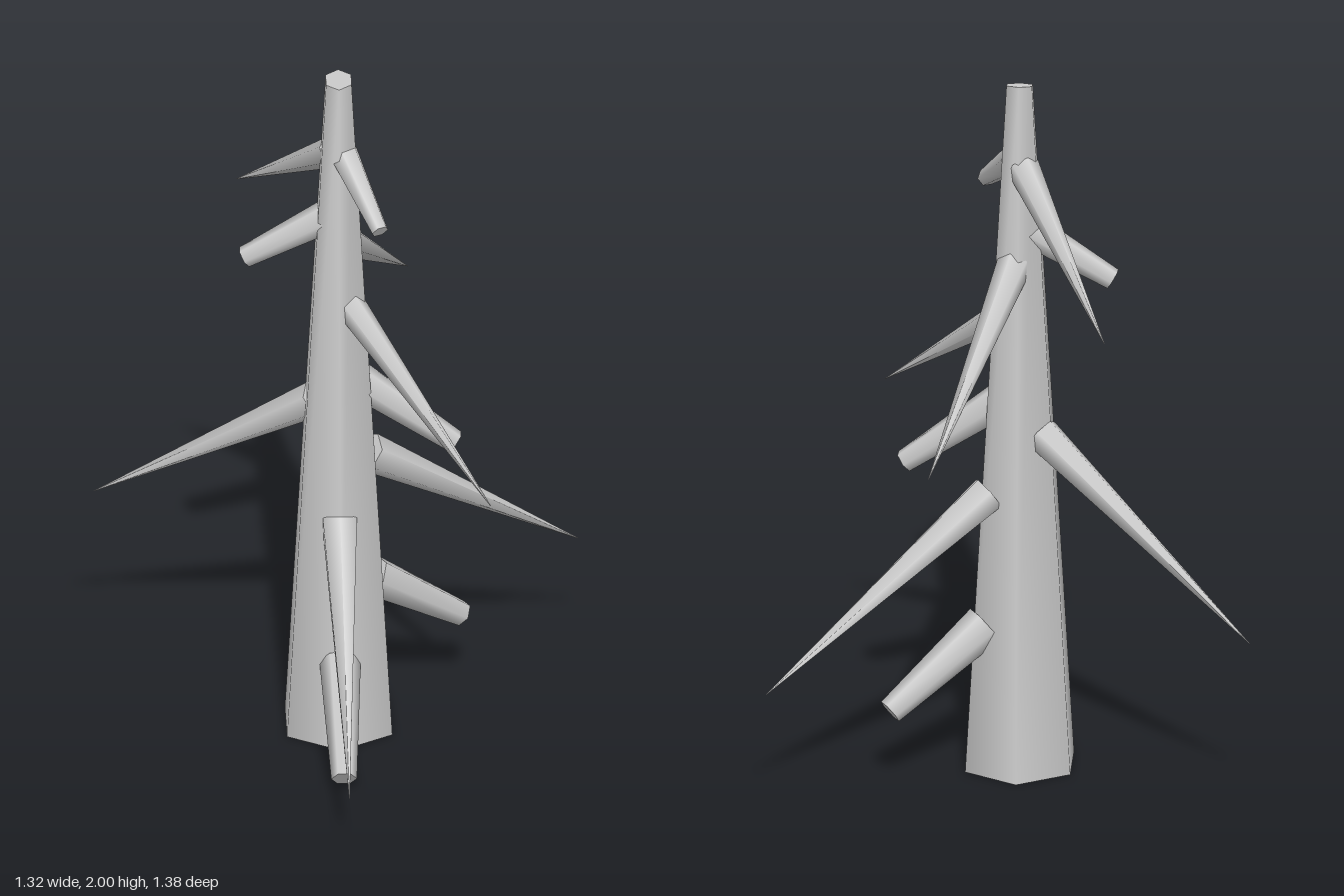
import * as THREE from 'three';

const material = new THREE.MeshStandardMaterial({ color: 0xcccccc });
const UP = new THREE.Vector3(0, 1, 0);
const AXIS = { x: -0.01, z: -0.085 };

// Six-sided tapered limb; its root is carried on into the trunk at the same taper.
function limb(name, root, tip, rootRadius, tipRadius, twist) {
  const a = new THREE.Vector3(...root);
  const b = new THREE.Vector3(...tip);
  const dir = b.clone().sub(a);
  const length = dir.length();
  dir.normalize();
  const sunk = 0.04;
  a.addScaledVector(dir, -sunk);
  const r = rootRadius + (rootRadius - tipRadius) * sunk / length;
  const geometry = new THREE.CylinderGeometry(tipRadius, r, length + sunk, 6);
  geometry.rotateY(twist);

  // Local y runs along the limb, local x stays level, local z faces upward.
  const side = new THREE.Vector3().crossVectors(dir, UP).normalize();
  const top = new THREE.Vector3().crossVectors(side, dir);
  const mesh = new THREE.Mesh(geometry, material);
  mesh.name = name;
  mesh.quaternion.setFromRotationMatrix(new THREE.Matrix4().makeBasis(side, dir, top));
  mesh.position.copy(a).add(b).multiplyScalar(0.5);
  return mesh;
}

export function createModel() {
  const group = new THREE.Group();
  group.name = 'deadTree';

  // Hexagonal tapering trunk with a slanted broken top
  const trunkGeometry = new THREE.CylinderGeometry(0.04, 0.165, 2, 6);
  trunkGeometry.translate(AXIS.x, 1, AXIS.z);
  const p = trunkGeometry.attributes.position;
  for (let i = 0; i < p.count; i++) {
    if (p.getY(i) > 1) p.setY(i, 1.99 - (p.getZ(i) - AXIS.z) * 0.25);
  }
  const trunk = new THREE.Mesh(trunkGeometry, material);
  trunk.name = 'trunk';
  group.add(trunk);

  // Long pointed branches: root, tip, root radius
  const spikes = [
    [[-0.01, 0.64, 0.03], [-0.01, 0.19, 0.69], 0.051],
    [[-0.1, 0.96, -0.137], [-0.66, 0.52, -0.46], 0.049],
    [[0.1, 0.785, -0.15], [0.655, 0.34, -0.47], 0.053],
    [[0.035, 1.295, -0.03], [0.385, 0.92, 0.385], 0.041],
    [[0.013, 1.455, -0.15], [0.2, 1.075, -0.685], 0.046],
    [[-0.038, 1.735, -0.135], [-0.27, 1.43, -0.55], 0.042],
  ];
  for (const [root, tip, r] of spikes) {
    group.add(limb('pointedBranch', root, tip, r, 0.001, 0));
  }

  // Short snapped-off branches: root, end, root radius, end radius
  const stubs = [
    [[0.11, 0.4, -0.155], [0.33, 0.22, -0.28], 0.056, 0.036],
    [[-0.01, 0.225, 0.055], [-0.01, 0.04, 0.31], 0.054, 0.035],
    [[0.08, 1.035, -0.08], [0.305, 0.87, -0.07], 0.048, 0.032],
    [[-0.06, 1.555, -0.09], [-0.265, 1.435, -0.105], 0.045, 0.03],
    [[0.015, 1.75, -0.05], [0.095, 1.63, 0.12], 0.04, 0.024],
  ];
  for (const [root, end, r, endRadius] of stubs) {
    group.add(limb('brokenBranch', root, end, r, endRadius, Math.PI / 6));
  }

  return group;
}
